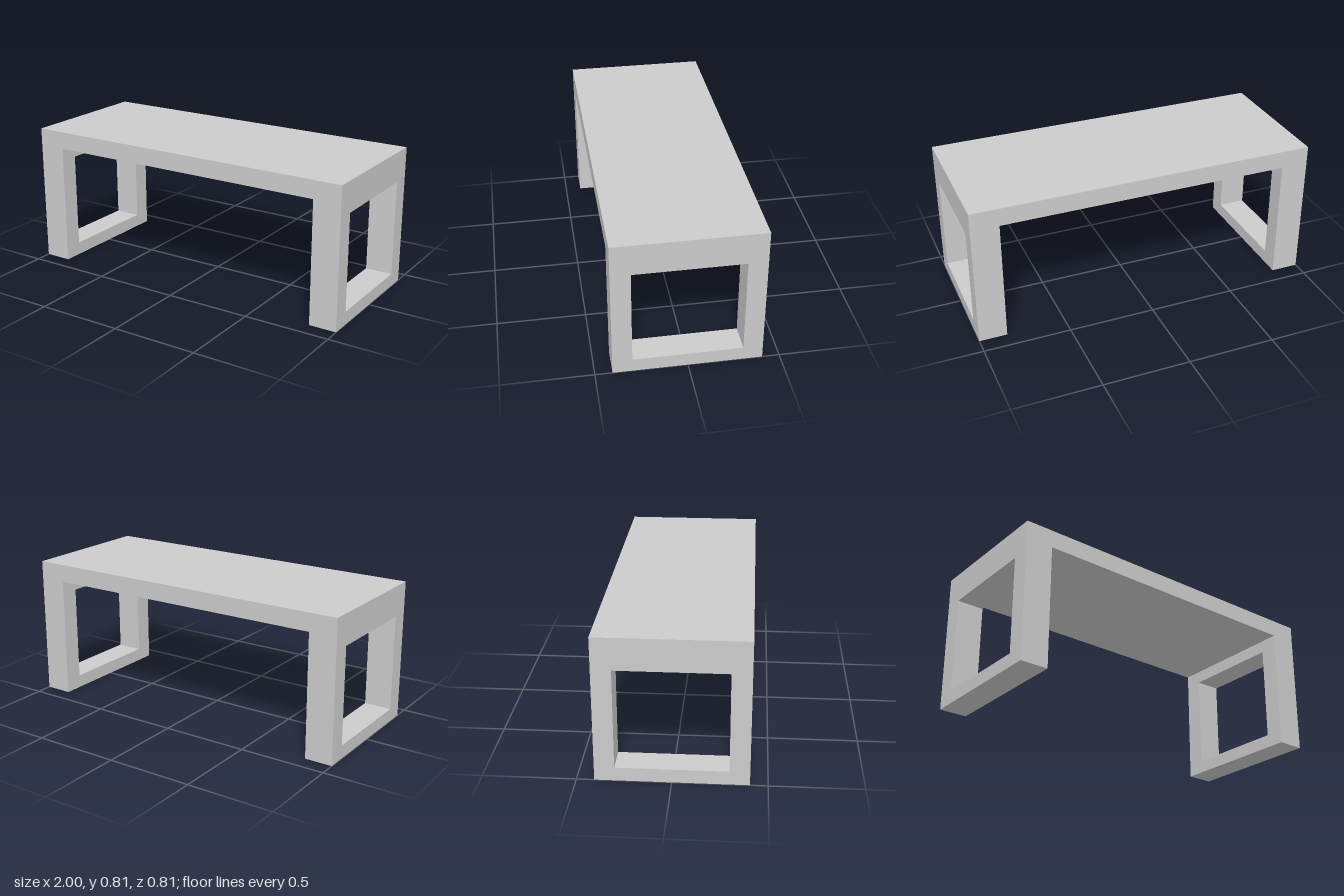
import * as THREE from 'three';

const WIDTH = 2, DEPTH = 0.812, HEIGHT = 0.813;
const TOP_UNDERSIDE = 0.71, LEG_WIDTH = 0.16;

// Rectangle outline, centred across the depth
function rectangle(PathType, halfWidth, bottom, top) {
  const path = new PathType();
  path.moveTo(-halfWidth, bottom);
  path.lineTo(halfWidth, bottom);
  path.lineTo(halfWidth, top);
  path.lineTo(-halfWidth, top);
  path.closePath();
  return path;
}

export function createModel() {
  const model = new THREE.Group();
  model.name = 'bench';
  const material = new THREE.MeshStandardMaterial({ color: 0xcccccc, flatShading: true });

  // Flat slab across the full width
  const thickness = HEIGHT - TOP_UNDERSIDE;
  const top = new THREE.Mesh(new THREE.BoxGeometry(WIDTH, thickness, DEPTH), material);
  top.name = 'benchTop';
  top.position.y = TOP_UNDERSIDE + thickness / 2;
  model.add(top);

  // Leg frame with a rectangular opening, turned to run along the depth
  const outline = rectangle(THREE.Shape, DEPTH / 2, 0, TOP_UNDERSIDE);
  outline.holes.push(rectangle(THREE.Path, 0.299, 0.077, 0.635));
  const frame = new THREE.ExtrudeGeometry(outline, { depth: LEG_WIDTH, bevelEnabled: false });
  frame.translate(0, 0, -LEG_WIDTH / 2);
  frame.rotateY(Math.PI / 2);

  for (const side of [-1, 1]) {
    const leg = new THREE.Mesh(frame, material);
    leg.name = side > 0 ? 'leftLegFrame' : 'rightLegFrame';
    leg.position.x = side * (WIDTH - LEG_WIDTH) / 2;
    model.add(leg);
  }
  return model;
}
